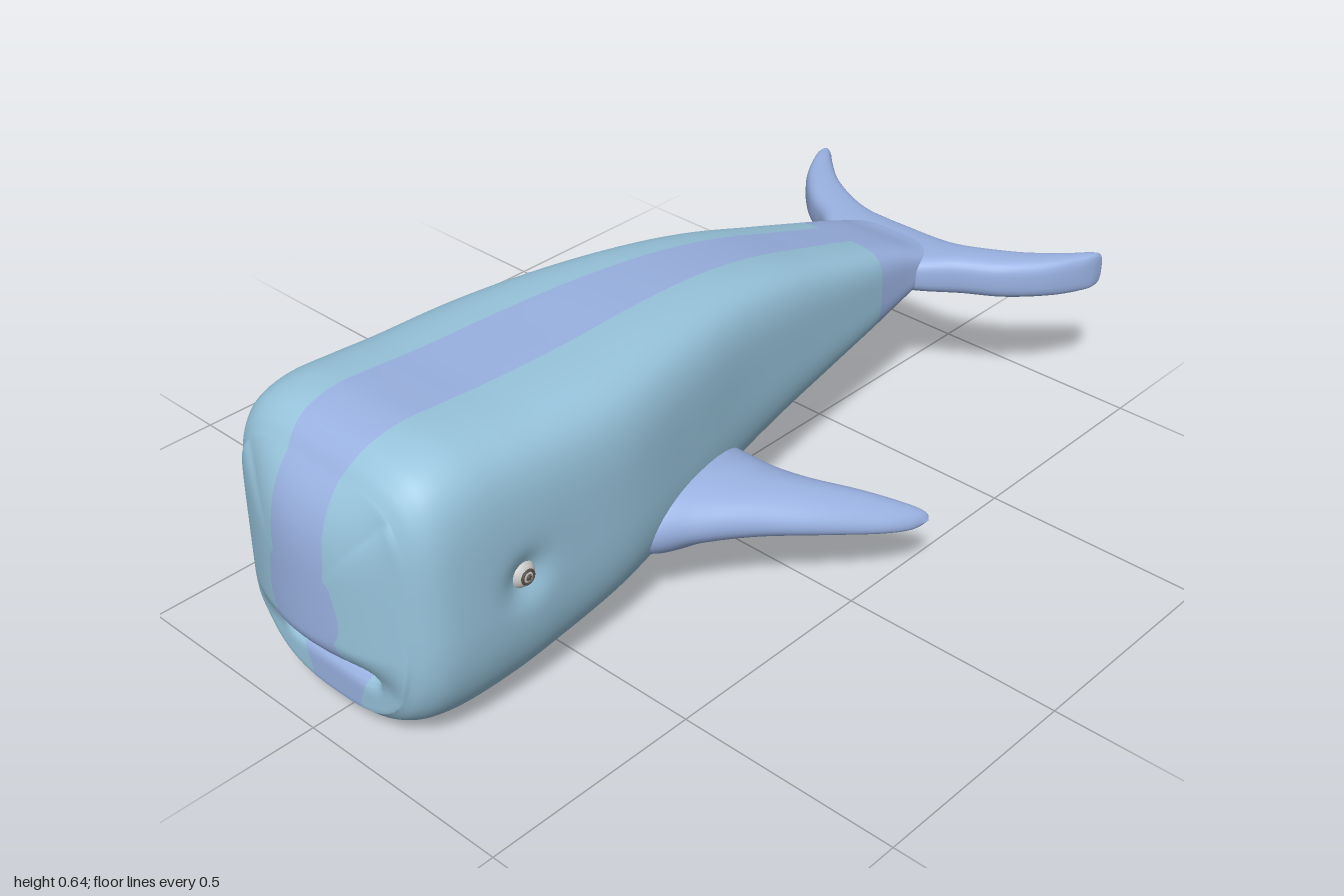
import * as THREE from 'three';
import { mergeVertices } from 'three/addons/utils/BufferGeometryUtils.js';
import { RoundedBoxGeometry } from 'three/addons/geometries/RoundedBoxGeometry.js';

const material = color => new THREE.MeshStandardMaterial({ color });
const skin = material(0x98c4dc), accent = material(0x9ab2e2);
const eyeGrey = material(0xcccccc), dark = material(0x5a5048);
const smooth = (x, a, b) => THREE.MathUtils.smoothstep(x, a, b);

function mesh(name, geometry, mat) {
  const m = new THREE.Mesh(geometry, mat);
  m.name = name;
  return m;
}

// Smooth curve through rows of up to six numbers
function spline(rows) {
  const curve = k => new THREE.CatmullRomCurve3(
    rows.map(r => new THREE.Vector3(r[k], r[k + 1] ?? 0, r[k + 2] ?? 0)), false, 'catmullrom', 0.5);
  const a = curve(0), b = curve(3);
  return t => [...a.getPoint(t).toArray(), ...b.getPoint(t).toArray()];
}

// Body stations from tail to snout: z, top, bottom, half width
const bodyAt = spline([
  [-0.77, 0.385, 0.305, 0.11], [-0.71, 0.4, 0.298, 0.128], [-0.63, 0.432, 0.265, 0.13],
  [-0.53, 0.465, 0.235, 0.138], [-0.36, 0.517, 0.2, 0.157], [-0.18, 0.569, 0.167, 0.18],
  [0, 0.603, 0.131, 0.207], [0.2, 0.62, 0.09, 0.247], [0.4, 0.625, 0.05, 0.281],
  [0.6, 0.631, 0.016, 0.286], [0.7, 0.638, 0.005, 0.286], [0.8, 0.643, 0.004, 0.284],
  [0.87, 0.63, 0.014, 0.275], [0.91, 0.605, 0.03, 0.255], [0.935, 0.575, 0.052, 0.225],
]);
const TAIL_EDGE = 3 / 14;   // where the tail colour begins along the stations
const STRIPE = 0.32;        // half width of the stripe relative to the body

function bodyPoint(u, v, w) {
  const [z0, top, bottom, half] = bodyAt((w + 1) / 2);
  const n = v > 0 ? 4.5 : 2.8;
  const m = Math.max(Math.abs(u), Math.abs(v));
  const s = m > 0 ? m / Math.pow(Math.abs(u) ** n + Math.abs(v) ** n, 1 / n) : 1;
  const onFace = w > 0.9999;
  // the stripe widens towards the mouth
  const widen = onFace ? 0.49 * (1 - smooth(v, -0.4, 0.7)) * smooth(v, -1, -0.6) : 0;
  let x = half * s * (u + widen * u * (1 - u * u));
  const y = (top + bottom) / 2 + s * v * (top - bottom) / 2;
  let z = z0;
  if (onFace) {
    // bulging forehead over a recessed jaw, with a mouth groove
    z += 0.065 * Math.max(0, 1 - (x / half) ** 2) * (1 - v ** 4) * smooth(y, 0.125, 0.24);
    z -= 0.045 * Math.exp(-(((y - 0.155) / 0.021) ** 2)) * (1 - smooth(Math.abs(x), 0.1, 0.15));
  } else if (Math.abs(u) > 0.9999) {
    // eye sockets
    const d2 = (z - 0.69) ** 2 + (y - 0.335) ** 2;
    x -= Math.sign(u) * 0.022 * Math.exp(-d2 / 0.0022);
  }
  return [x, y, z];
}

// Subdivided box bent into the body, its faces sorted into skin and accent
function body() {
  let geo = new THREE.BoxGeometry(2, 2, 2, 50, 60, 140);
  geo.deleteAttribute('normal');
  geo.deleteAttribute('uv');
  geo = mergeVertices(geo);
  geo.clearGroups();
  const pos = geo.attributes.position, cube = pos.clone();
  for (let i = 0; i < pos.count; i++)
    pos.setXYZ(i, ...bodyPoint(cube.getX(i), cube.getY(i), cube.getZ(i)));
  geo.computeVertexNormals();

  const faces = { skin: [], accent: [] }, index = geo.index.array;
  for (let i = 0; i < index.length; i += 3) {
    const tri = [index[i], index[i + 1], index[i + 2]];
    const u = tri.reduce((a, k) => a + cube.getX(k), 0) / 3;
    const w = tri.reduce((a, k) => a + cube.getZ(k), 0) / 3;
    const coloured = Math.abs(u) < STRIPE || (w + 1) / 2 < TAIL_EDGE;
    faces[coloured ? 'accent' : 'skin'].push(...tri);
  }
  const group = new THREE.Group();
  group.name = 'body';
  const part = (name, list, mat) => {
    const g = new THREE.BufferGeometry();
    g.setAttribute('position', pos);
    g.setAttribute('normal', geo.attributes.normal);
    g.setIndex(list);
    group.add(mesh(name, g, mat));
  };
  part('bodySkin', faces.skin, skin);
  part('stripeAndTailStock', faces.accent, accent);
  return group;
}

// Fin lofted along x; rows ascending in x: x, y, half thickness, leading z, trailing z
function fin(rows, power, steps = 64, sides = 32) {
  const at = spline(rows), points = [], index = [];
  const round = c => Math.sign(c) * Math.abs(c) ** (2 / power);
  for (let i = 0; i <= steps; i++) {
    const [x, y, h, lead, trail] = at(i / steps);
    for (let j = 0; j < sides; j++) {
      const a = j / sides * Math.PI * 2;
      points.push(x, y + h * round(Math.sin(a)), (lead + trail) / 2 + (lead - trail) / 2 * round(Math.cos(a)));
      if (i === steps) continue;
      const p = i * sides + j, q = i * sides + (j + 1) % sides;
      index.push(p, p + sides, q, q, p + sides, q + sides);
    }
  }
  const g = new THREE.BufferGeometry();
  g.setAttribute('position', new THREE.Float32BufferAttribute(points, 3));
  g.setIndex(index);
  g.computeVertexNormals();
  return g;
}
const mirrored = rows => rows.map(([x, ...rest]) => [-x, ...rest]).reverse();

export function createModel() {
  const model = new THREE.Group();
  model.name = 'whale';
  model.add(body());

  // Tail flukes
  const fluke = [
    [0.07, 0.345, 0.045, -0.63, -0.82], [0.13, 0.345, 0.046, -0.665, -0.823],
    [0.2, 0.345, 0.047, -0.725, -0.846], [0.28, 0.345, 0.047, -0.777, -0.893],
    [0.35, 0.345, 0.046, -0.85, -0.955], [0.39, 0.345, 0.044, -0.92, -0.996],
    [0.405, 0.345, 0.036, -0.96, -1], [0.408, 0.345, 0, -0.985, -0.985],
  ];
  model.add(mesh('tailFlukes', fin([...mirrored(fluke), [0, 0.345, 0.045, -0.62, -0.82], ...fluke], 3, 110), accent));

  // Flippers
  const flipper = [
    [0.18, 0.215, 0.085, 0.4, -0.0], [0.25, 0.217, 0.075, 0.355, 0.0],
    [0.3, 0.22, 0.058, 0.28, -0.005], [0.37, 0.215, 0.047, 0.18, -0.03],
    [0.45, 0.198, 0.036, 0.075, -0.09], [0.52, 0.173, 0.024, -0.035, -0.148],
    [0.552, 0.158, 0.015, -0.105, -0.17], [0.564, 0.152, 0, -0.155, -0.162],
  ];
  model.add(mesh('leftFlipper', fin(flipper, 2.1), accent));
  model.add(mesh('rightFlipper', fin(mirrored(flipper), 2.1), accent));

  // Mouth opening
  const mouth = mesh('mouth', new RoundedBoxGeometry(0.23, 0.036, 0.08, 5, 0.017), dark);
  mouth.position.set(0, 0.153, 0.878);
  model.add(mouth);

  // Eyes
  for (const side of [1, -1]) {
    const eye = new THREE.Group();
    eye.name = side > 0 ? 'leftEye' : 'rightEye';
    eye.position.set(side * 0.251, 0.335, 0.69);
    eye.rotation.y = side * Math.PI / 2;
    const iris = mesh('iris', new THREE.TorusGeometry(0.014, 0.003, 8, 24), dark);
    iris.position.z = 0.031;
    const pupil = mesh('pupil', new THREE.SphereGeometry(0.008, 16, 12), dark);
    pupil.position.z = 0.029;
    eye.add(mesh('eyeball', new THREE.SphereGeometry(0.034, 32, 20), eyeGrey), iris, pupil);
    model.add(eye);
  }
  return model;
}
